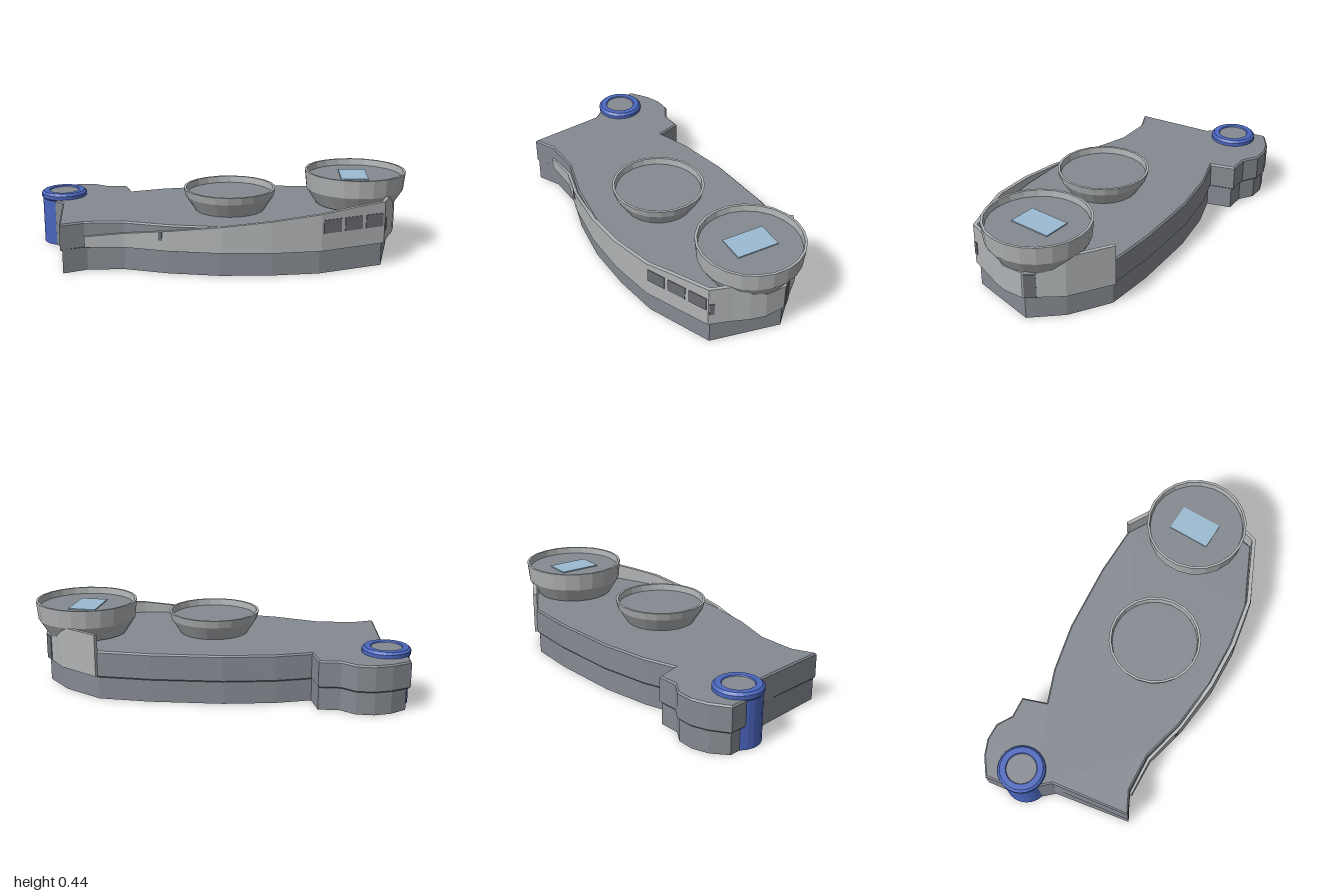
import * as THREE from 'three';

const mat = (name, color, side = THREE.FrontSide) => {
  const m = new THREE.MeshStandardMaterial({ color, side, flatShading: true });
  m.name = name;
  return m;
};

export function createModel() {
  const hullGrey = mat('hull grey', 0x858a91);
  const paleGrey = mat('pale grey', 0xb0b3b5);
  const darkGrey = mat('dark grey', 0x6a6d72);
  const blue = mat('blue', 0x4a66bf);
  const glass = mat('glass blue', 0x9cbbd2);

  const group = new THREE.Group();
  const add = (name, geometry, material, x = 0, y = 0, z = 0) => {
    const mesh = new THREE.Mesh(geometry, material);
    mesh.name = name;
    mesh.position.set(x, y, z);
    group.add(mesh);
    return mesh;
  };

  // Plan outlines as [x, z]
  const back = [[0.57, -0.425], [0.3, -0.425], [-0.07, -0.39], [-0.33, -0.33], [-0.505, -0.26],
    [-0.55, -0.385], [-0.66, -0.375], [-0.74, -0.42], [-0.83, -0.415], [-0.91, -0.38],
    [-1, -0.31], [-0.985, -0.22], [-0.92, -0.075], [-0.85, 0]];
  const deckOutline = [[-0.785, 0.415], [-0.67, 0.355], [-0.47, 0.34], [-0.24, 0.395], [0.03, 0.42],
    [0.28, 0.405], [0.525, 0.362], [0.85, 0.21], [0.925, -0.15], [0.79, -0.305], ...back];
  const baseOutline = [[-0.775, 0.41], [-0.66, 0.345], [-0.47, 0.33], [-0.24, 0.385], [0.02, 0.411],
    [0.28, 0.395], [0.52, 0.354], [0.85, 0.205], [0.92, -0.16], [0.78, -0.3],
    ...back.map(([x, z]) => [x < -0.95 ? x + 0.02 : x, z < -0.2 ? z + 0.014 : z])];

  const slab = (outline, height, bevel) => {
    const shape = new THREE.Shape(outline.map(([x, z]) => new THREE.Vector2(x, -z)));
    const g = new THREE.ExtrudeGeometry(shape, {
      depth: height - bevel, bevelEnabled: bevel > 0, bevelSize: bevel,
      bevelThickness: bevel, bevelOffset: -bevel, bevelSegments: 1,
    });
    return g.rotateX(-Math.PI / 2);
  };
  add('base', slab(baseOutline, 0.126, 0), hullGrey);
  add('deck', slab(deckOutline, 0.133, 0.008), hullGrey, 0, 0.126, 0);

  // Sweeping outer wall: [x, z, top height], from the front left round to the back
  const wallPath = [[-0.67, 0.366, 0.183], [-0.47, 0.355, 0.2], [-0.24, 0.41, 0.23], [0.03, 0.436, 0.262],
    [0.28, 0.425, 0.29], [0.53, 0.378, 0.318], [0.7, 0.298, 0.335], [0.86, 0.222, 0.346],
    [0.895, 0.11, 0.346], [0.925, 0.03, 0.315], [0.943, -0.05, 0.268], [0.935, -0.16, 0.268],
    [0.8, -0.315, 0.345], [0.58, -0.437, 0.346]];
  const positions = [], index = [];
  const last = wallPath.length - 1;
  wallPath.forEach(([x, z, top], i) => {
    const p = wallPath[Math.max(i - 1, 0)], q = wallPath[Math.min(i + 1, last)];
    const dx = q[0] - p[0], dz = q[1] - p[1], len = Math.hypot(dx, dz);
    const ix = x + 0.02 * dz / len, iz = z - 0.02 * dx / len;
    positions.push(x, 0.126, z, x, top, z, ix, top, iz, ix, 0.126, iz);
    if (i === last) return;
    for (let k = 0; k < 4; k++) {
      const a = i * 4 + k, d = i * 4 + (k + 1) % 4;
      index.push(a, a + 4, d + 4, a, d + 4, d);
    }
  });
  const e = last * 4;
  index.push(0, 1, 2, 0, 2, 3, e, e + 2, e + 1, e, e + 3, e + 2);
  const wall = new THREE.BufferGeometry();
  wall.setAttribute('position', new THREE.Float32BufferAttribute(positions, 3));
  wall.setIndex(index);
  wall.computeVertexNormals();
  add('outerWall', wall, paleGrey);

  // Thin plates lying on the wall, centred between heights y0 and y1
  const plate = (name, [ax, az], [bx, bz], t, width, y0, y1) => {
    const m = add(name, new THREE.BoxGeometry(width, y1 - y0, 0.008), darkGrey,
      ax + (bx - ax) * t, (y0 + y1) / 2, az + (bz - az) * t);
    m.rotation.y = Math.atan2(az - bz, bx - ax);
  };
  for (const x of [0.585, 0.695, 0.805]) {
    plate('wallWindow', [0.53, 0.378], [0.86, 0.222], (x - 0.53) / 0.33, 0.1, 0.218, 0.288);
  }
  plate('sideSlot', wallPath[7], wallPath[8], 0.15, 0.025, 0.19, 0.255);
  plate('rearDoor', wallPath[11], wallPath[12], 0.18, 0.06, 0.127, 0.258);
  plate('frontSlot', wallPath[1], wallPath[2], 0.83, 0.02, 0.18, 0.222);

  // Round flared towers with a sunken roof
  const tower = (name, x, z, r, bottom, top, shoulder) => {
    const profile = [[0, bottom], [r - 0.061, bottom], [r - 0.01, shoulder], [r, top],
      [r - 0.013, top], [r - 0.017, top - 0.035]].map(([px, py]) => new THREE.Vector2(px, py));
    add(name, new THREE.LatheGeometry(profile, 22), paleGrey, x, 0, z);
    add(name + 'Roof', new THREE.CircleGeometry(r - 0.016, 22).rotateX(-Math.PI / 2), hullGrey,
      x, top - 0.034, z);
  };
  tower('middleTower', 0.058, 0.06, 0.243, 0.255, 0.375, 0.335);
  tower('endTower', 0.728, -0.082, 0.27, 0.264, 0.441, 0.345);
  add('skylight', new THREE.BoxGeometry(0.145, 0.006, 0.225), glass, 0.72, 0.411, -0.087);

  // Corner post with a flanged collar
  const post = [[0, 0], [0.118, 0], [0.118, 0.25], [0.124, 0.258], [0.124, 0.278], [0.112, 0.29],
    [0.082, 0.29], [0.078, 0.283]].map(([x, y]) => new THREE.Vector2(x, y));
  add('cornerPost', new THREE.LatheGeometry(post, 24), blue, -0.872, 0, -0.17);
  add('postCap', new THREE.CircleGeometry(0.08, 24).rotateX(-Math.PI / 2), hullGrey, -0.872, 0.284, -0.17);

  return group;
}
